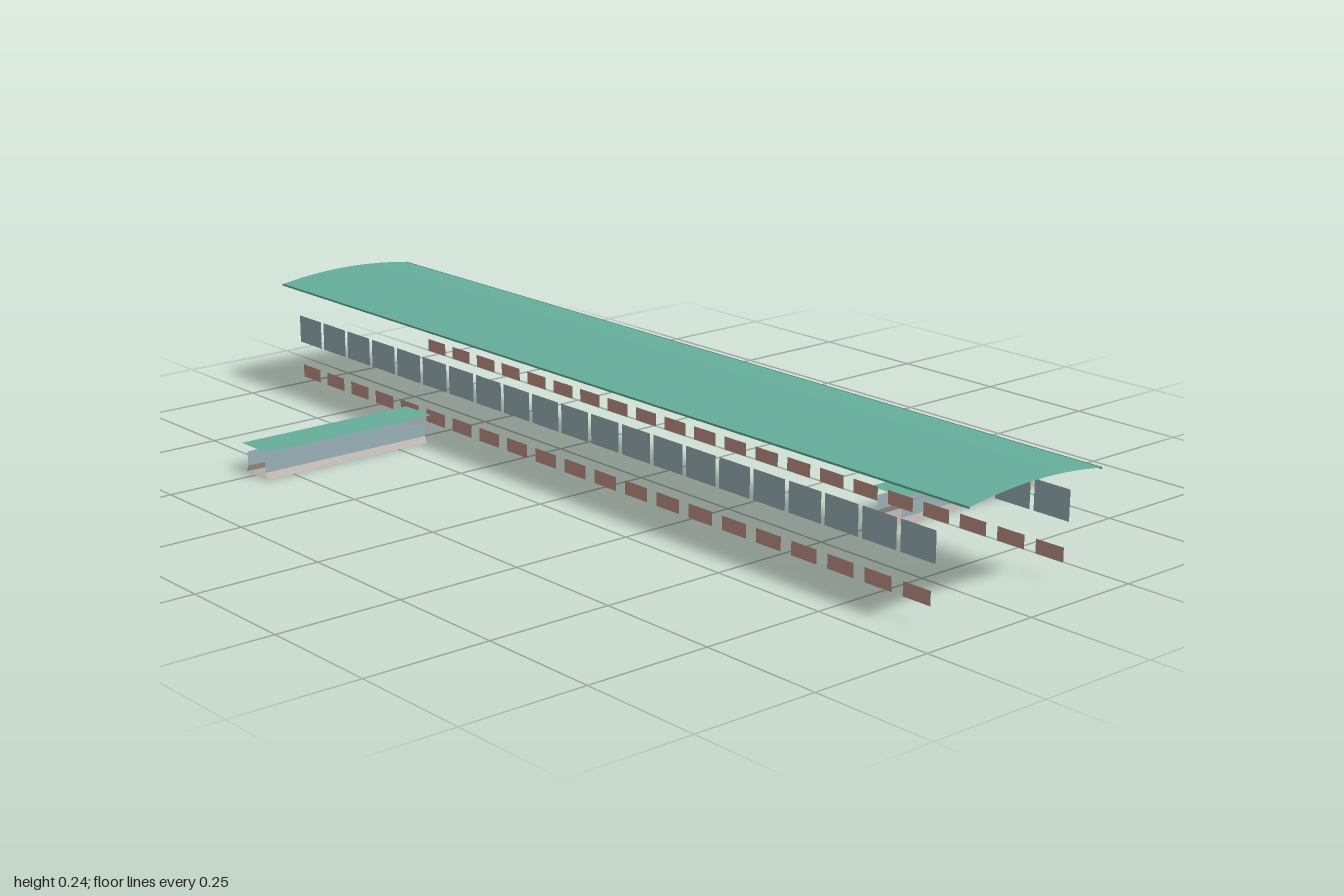
import * as THREE from 'three';

const flat = (name, color) => {
  const m = new THREE.MeshStandardMaterial({ color, side: THREE.DoubleSide });
  m.name = name;
  return m;
};

export function createModel() {
  const green = flat('roofGreen', 0x66ae9b);
  const glass = flat('paleGlass', 0x98b0b7);
  const brick = flat('brickPink', 0xbf9286);
  const stone = flat('warmGrey', 0xb2aaa4);
  const model = new THREE.Group();
  model.name = 'stationHall';

  const add = (parent, name, geometry, material, x = 0, y = 0, z = 0) => {
    const mesh = new THREE.Mesh(geometry, material);
    mesh.name = name;
    mesh.position.set(x, y, z);
    parent.add(mesh);
    return mesh;
  };

  // Long, gently arched roof sheet
  const roof = new THREE.PlaneGeometry(0.326, 2, 24, 1).rotateX(-Math.PI / 2);
  const p = roof.attributes.position;
  for (let i = 0; i < p.count; i++) {
    p.setY(i, 0.241 - 0.013 * (p.getX(i) / 0.163) ** 2);
  }
  roof.computeVertexNormals();
  add(model, 'roof', roof, green);

  // Rows of tall windows and low panels along both sides, with roof lips
  const paneGeo = new THREE.PlaneGeometry(0.08, 0.058).rotateY(Math.PI / 2);
  const panelGeo = new THREE.PlaneGeometry(0.063, 0.027).rotateY(Math.PI / 2);
  const lipGeo = new THREE.PlaneGeometry(2, 0.004).rotateY(Math.PI / 2);
  for (const side of [-1, 1]) {
    const lip = add(model, 'roofLip', lipGeo, green, side * 0.163, 0.227, 0);
    if (side < 0) lip.rotation.y = Math.PI;
    for (let i = 0; i < 21; i++) {
      const z = (i - 10) * 0.0893;
      const pane = add(model, 'sideWindow', paneGeo, glass, side * 0.165, 0.143, z);
      const panel = add(model, 'lowPanel', panelGeo, brick, side * 0.165, 0.0515, z);
      if (side < 0) pane.rotation.y = panel.rotation.y = Math.PI;
    }
  }

  // Open-ended side passage: canopy, glazed sides, flared skirts and floor
  const passage = (name) => {
    const g = new THREE.Group();
    g.name = name;
    add(g, 'canopy', new THREE.PlaneGeometry(0.393, 0.085).rotateX(-Math.PI / 2), green, 0.3685, 0.058);
    add(g, 'floor', new THREE.PlaneGeometry(0.38, 0.074).rotateX(Math.PI / 2), stone, 0.37, 0);
    for (const s of [-1, 1]) {
      const wall = new THREE.Group();
      wall.name = 'passageWall';
      wall.rotation.y = s < 0 ? Math.PI : 0;
      add(wall, 'passageGlass', new THREE.PlaneGeometry(0.38, 0.029), glass, s * 0.37, 0.0275, 0.031);
      const skirt = new THREE.PlaneGeometry(0.38, 0.0143).rotateX(-Math.atan2(0.006, 0.013));
      add(wall, 'skirt', skirt, stone, s * 0.37, 0.0065, 0.034);
      g.add(wall);
    }
    return g;
  };
  const left = passage('leftPassage');
  left.position.z = 0.495;
  const right = passage('rightPassage');
  right.position.z = -0.495;
  right.rotation.y = Math.PI;
  model.add(left, right);

  return model;
}
